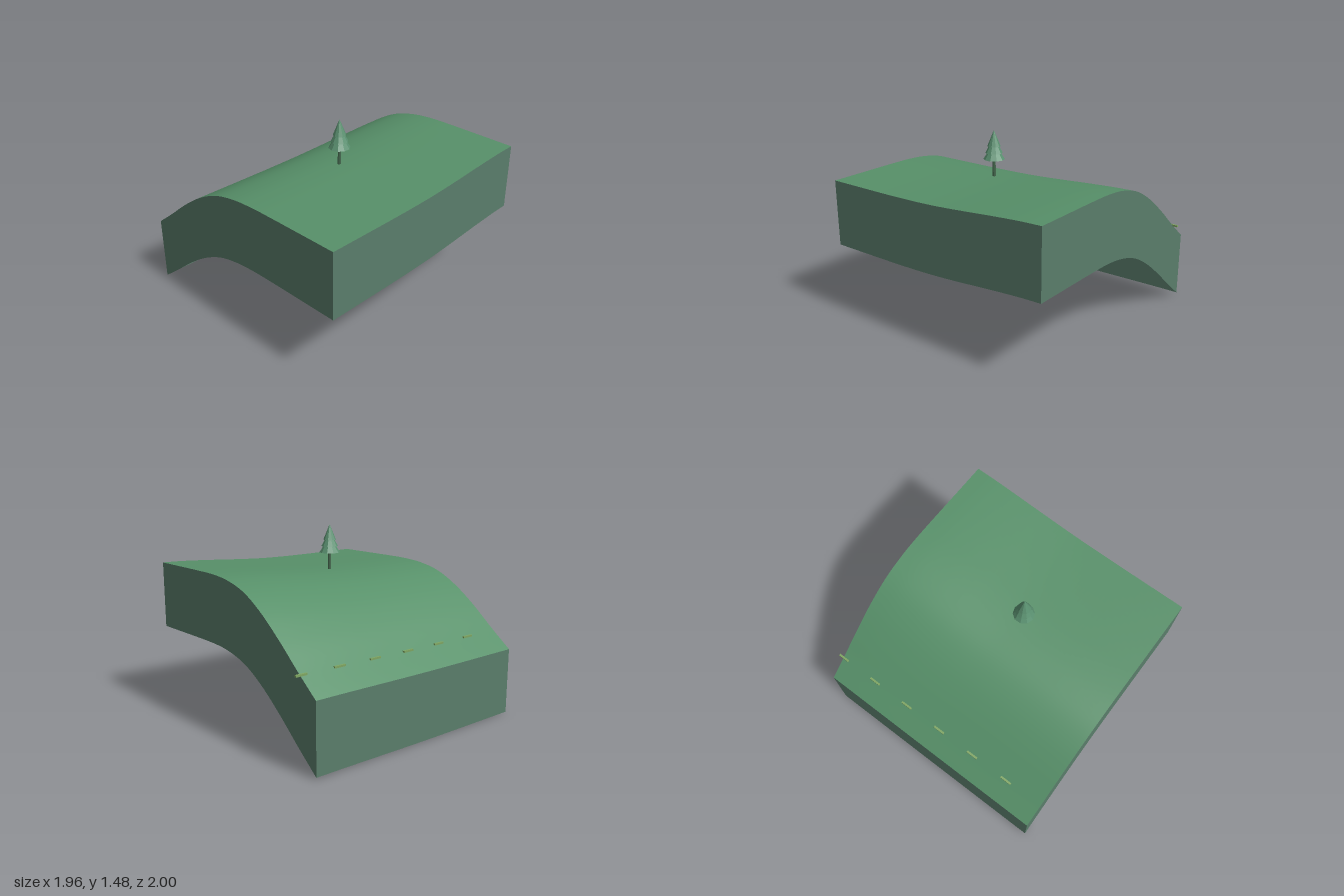
import * as THREE from 'three';

const mat = (name, color, side = THREE.FrontSide, flatShading = false) => {
  const m = new THREE.MeshStandardMaterial({ color, side, flatShading });
  m.name = name;
  return m;
};

// Smooth interpolation through [position, value] points
function smooth(points) {
  const slope = (i) => {
    const a = points[Math.max(i - 1, 0)], b = points[Math.min(i + 1, points.length - 1)];
    return (b[1] - a[1]) / (b[0] - a[0]);
  };
  return (x) => {
    let i = 0;
    while (i < points.length - 2 && x > points[i + 1][0]) i++;
    const [x0, y0] = points[i], [x1, y1] = points[i + 1];
    const d = x1 - x0, t = (x - x0) / d, t2 = t * t, t3 = t2 * t;
    return y0 * (2 * t3 - 3 * t2 + 1) + slope(i) * d * (t3 - 2 * t2 + t)
      + y1 * (3 * t2 - 2 * t3) + slope(i + 1) * d * (t3 - t2);
  };
}

// Hill: front profile, plus a rise that grows towards the back
const profile = smooth([[-0.98, 0.525], [-0.8, 0.663], [-0.6, 0.824], [-0.4, 0.96], [-0.2, 1.055],
  [0, 1.1], [0.2, 1.115], [0.4, 1.116], [0.7, 1.113], [0.98, 1.11]]);
const rise = smooth([[-0.98, 0.014], [-0.6, 0.024], [-0.4, 0.037], [-0.2, 0.053], [0, 0.065],
  [0.2, 0.071], [0.98, 0.07]]);
const backness = smooth([[-0.96, 1], [-0.8, 0.93], [-0.6, 0.75], [-0.4, 0.53], [-0.2, 0.31],
  [0, 0.14], [0.2, 0.05], [0.4, 0.01], [0.6, 0], [1, 0]]);
const height = (x, z) => profile(x) + rise(x) * backness(z);

const X = 0.98, BACK = -0.96, FRONT = 1, DEPTH = 0.525, STEPS = 48;

function terrainGeometry() {
  const geo = new THREE.PlaneGeometry(2 * X, FRONT - BACK, STEPS, STEPS);
  geo.rotateX(-Math.PI / 2).translate(0, 0, (FRONT + BACK) / 2);
  const p = geo.attributes.position;
  for (let i = 0; i < p.count; i++) p.setY(i, height(p.getX(i), p.getZ(i)));
  geo.computeVertexNormals();
  return geo;
}

// Wall that hangs from the terrain edge between two corners
function wallGeometry([xa, za], [xb, zb]) {
  const pos = [], index = [];
  for (let i = 0; i <= STEPS; i++) {
    const t = i / STEPS, x = xa + (xb - xa) * t, z = za + (zb - za) * t, y = height(x, z);
    pos.push(x, y, z, x, y - DEPTH, z);
    if (i < STEPS) {
      const a = 2 * i;
      index.push(a, a + 1, a + 3, a, a + 3, a + 2);
    }
  }
  const geo = new THREE.BufferGeometry();
  geo.setAttribute('position', new THREE.Float32BufferAttribute(pos, 3));
  geo.setIndex(index);
  geo.computeVertexNormals();
  return geo;
}

export function createModel() {
  const model = new THREE.Group();
  model.name = 'hillside';
  const grass = mat('grass green', 0x579069, THREE.DoubleSide);
  const earth = mat('grey green', 0x5a7d6b, THREE.DoubleSide);
  const needles = mat('needle green', 0x5a9070, THREE.FrontSide, true);
  const bark = mat('dark green', 0x46694f, THREE.FrontSide, true);
  const marker = mat('light green', 0x7fa562);

  const add = (parent, name, geo, material, x = 0, y = 0, z = 0) => {
    const mesh = new THREE.Mesh(geo, material);
    mesh.name = name;
    mesh.position.set(x, y, z);
    parent.add(mesh);
    return mesh;
  };

  add(model, 'terrain', terrainGeometry(), grass);

  // Walls around the block, open underneath
  const corners = [[-X, FRONT], [X, FRONT], [X, BACK], [-X, BACK]];
  ['frontWall', 'leftWall', 'backWall', 'rightWall'].forEach((name, i) =>
    add(model, name, wallGeometry(corners[i], corners[(i + 1) % 4]), earth));

  // Row of small markers along the slope
  const dash = new THREE.BoxGeometry(0.016, 0.014, 0.094);
  for (let i = 0; i < 6; i++) {
    const z = -0.953 + i * 0.3255;
    add(model, 'marker', dash, marker, -0.82, height(-0.82, Math.max(z, BACK)) + 0.005, z);
  }

  // Fir tree: trunk and three tiers
  const tree = new THREE.Group();
  tree.name = 'tree';
  tree.position.set(0.16, 0, 0.1);
  model.add(tree);
  add(tree, 'trunk', new THREE.CylinderGeometry(0.011, 0.013, 0.16, 8), bark, 0, 1.195, 0);
  for (const [r, base, top] of [[0.083, 1.256, 1.385], [0.067, 1.306, 1.43], [0.051, 1.358, 1.482]]) {
    add(tree, 'foliage', new THREE.ConeGeometry(r, top - base, 10), needles, 0, (base + top) / 2, 0);
  }
  return model;
}
